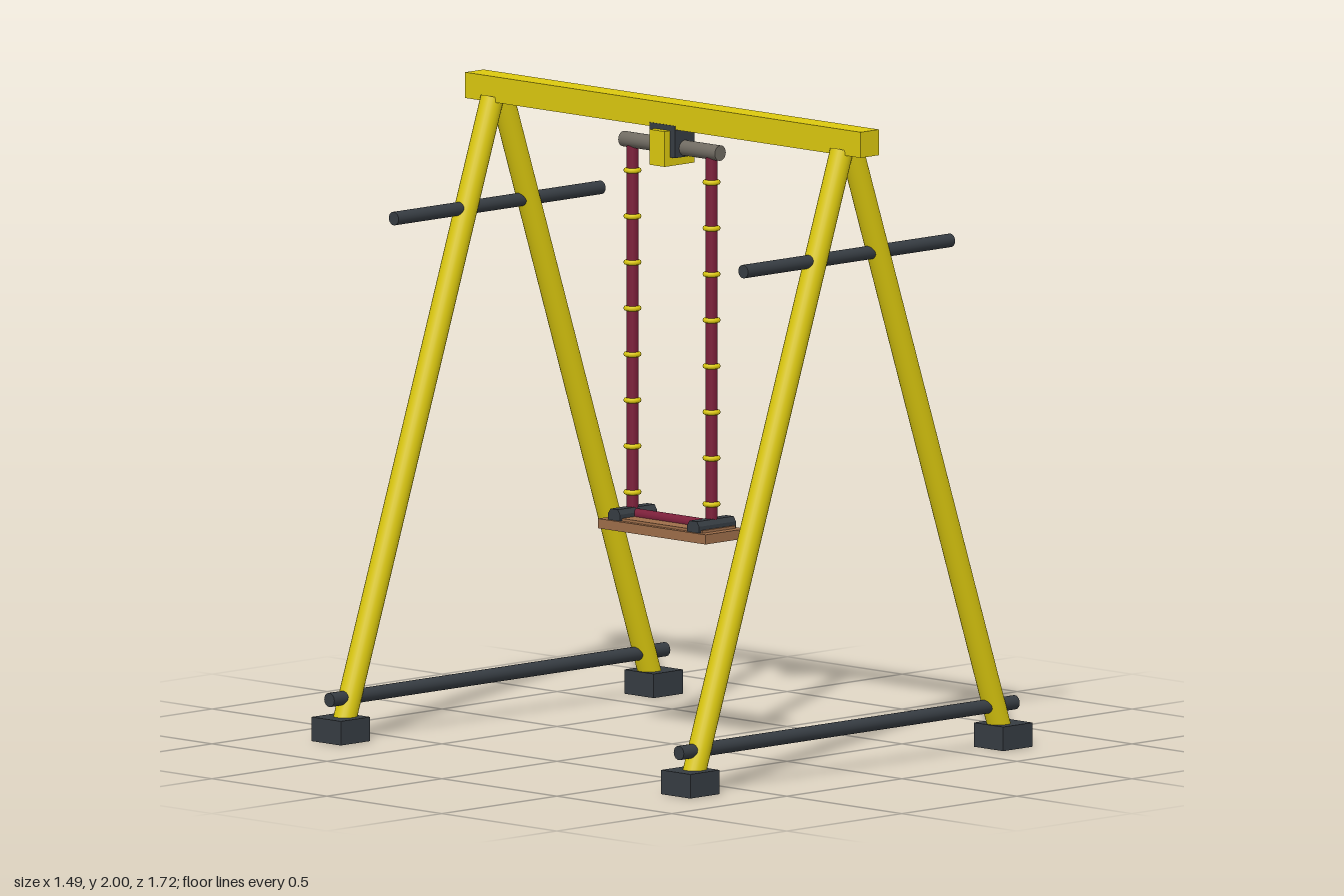
import * as THREE from 'three';

const mat = (name, color) => {
  const m = new THREE.MeshStandardMaterial({ color });
  m.name = name;
  return m;
};

export function createModel() {
  const yellow = mat('yellow paint', 0xdcc90f);
  const dark = mat('dark rubber', 0x363c42);
  const grey = mat('grey metal', 0x706b62);
  const red = mat('maroon rope', 0x7c1f3a);
  const wood = mat('wood', 0x9e6e4a);

  const model = new THREE.Group();
  model.name = 'swing';

  const add = (name, geometry, material, x = 0, y = 0, z = 0) => {
    const mesh = new THREE.Mesh(geometry, material);
    mesh.name = name;
    mesh.position.set(x, y, z);
    model.add(mesh);
    return mesh;
  };
  const box = (name, material, w, h, d, x, y, z) =>
    add(name, new THREE.BoxGeometry(w, h, d), material, x, y, z);
  // Round rod between two points
  const rod = (name, material, r, a, b, sides = 20) => {
    const from = new THREE.Vector3(...a), to = new THREE.Vector3(...b);
    const dir = to.clone().sub(from);
    const mesh = add(name, new THREE.CylinderGeometry(r, r, dir.length(), sides), material);
    mesh.position.copy(from).add(to).multiplyScalar(0.5);
    mesh.quaternion.setFromUnitVectors(new THREE.Vector3(0, 1, 0), dir.normalize());
    return mesh;
  };

  // Top beam
  box('topBeam', yellow, 0.08, 0.08, 1.72, 0, 1.96, 0);

  // A-frames at both ends
  for (const z of [-0.76, 0.76]) {
    for (const s of [-1, 1]) {
      rod('leg', yellow, 0.036, [s * 0.672, 0.04, z], [s * 0.022, 1.93, z], 24);
      box('foot', dark, 0.128, 0.075, 0.128, s * 0.68, 0.0375, z);
    }
    rod('lowerCrossbar', dark, 0.022, [-0.73, 0.133, z], [0.73, 0.133, z]);
    rod('upperCrossbar', dark, 0.021, [-0.45, 1.6, z], [0.45, 1.6, z]);
  }

  // Hanger bracket and spreader bar
  box('hangerCollar', dark, 0.084, 0.1, 0.11, 0, 1.882, 0);
  box('hangerBlock', yellow, 0.13, 0.11, 0.066, 0, 1.86, 0);
  rod('spreaderBar', grey, 0.024, [0, 1.86, -0.21], [0, 1.86, 0.21]);

  // Clip profile with chamfered top, extruded along x
  const profile = new THREE.Shape([
    [-0.026, 0], [0.026, 0], [0.026, 0.02], [0.016, 0.035], [-0.016, 0.035], [-0.026, 0.02],
  ].map(([x, y]) => new THREE.Vector2(x, y)));
  const clip = new THREE.ExtrudeGeometry(profile, { depth: 0.16, bevelEnabled: false });
  clip.translate(0, 0, -0.08).rotateY(Math.PI / 2);

  // Ropes with evenly spaced rings
  const ring = new THREE.TorusGeometry(0.02, 0.008, 8, 20).rotateX(Math.PI / 2);
  for (const z of [-0.172, 0.172]) {
    rod('rope', red, 0.018, [0, 0.69, z], [0, 1.86, z], 16);
    for (let i = 0; i < 8; i++) add('ropeRing', ring, yellow, 0, 0.765 + i * 0.143, z);
    add('seatClip', clip, dark, 0, 0.685, z);
  }

  // Seat with raised pad and the rope running across it
  box('seat', wood, 0.176, 0.03, 0.468, 0, 0.67, 0);
  box('seatPad', wood, 0.144, 0.008, 0.41, 0, 0.689, 0);
  rod('seatRope', red, 0.018, [0, 0.698, -0.172], [0, 0.698, 0.172], 16);

  return model;
}
